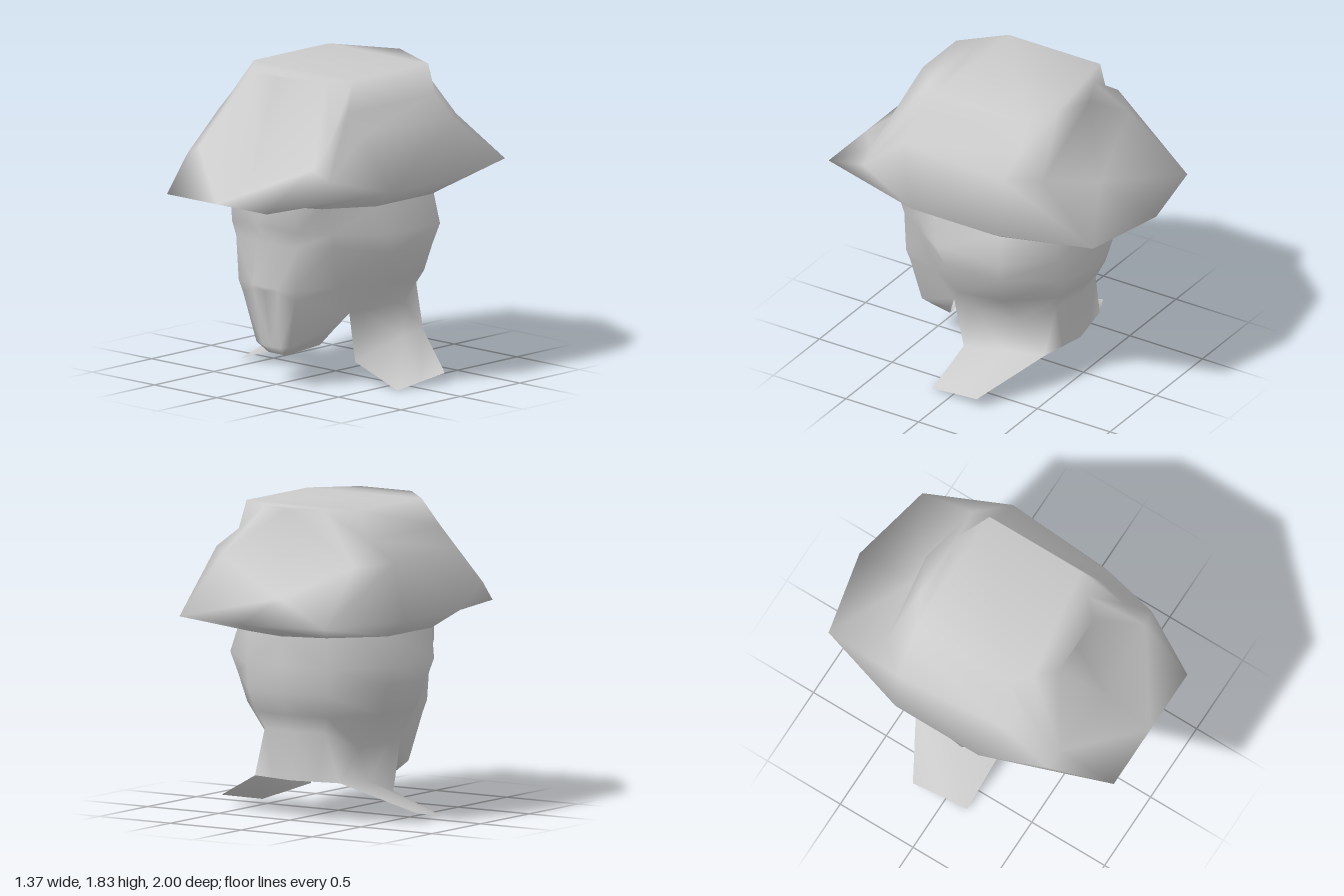
import * as THREE from 'three';
import { mergeVertices } from 'three/addons/utils/BufferGeometryUtils.js';

const grey = new THREE.MeshStandardMaterial({ color: 0xcccccc, side: THREE.DoubleSide });
grey.name = 'plain grey';

// Skins a grid of points; rows run down, columns run from the front to the back of the left half.
// Repeated points close a cell to a triangle.
function addPatch(out, rows, mirror = true) {
  const tri = (a, b, c) => {
    if (a === b || b === c || a === c) return;
    out.push(...a, ...b, ...c);
    if (mirror) for (const p of [a, c, b]) out.push(p[0] === 0 ? 0 : -p[0], p[1], p[2]);
  };
  for (let r = 0; r < rows.length - 1; r++) {
    for (let c = 0; c < rows[r].length - 1; c++) {
      const a = rows[r][c], b = rows[r][c + 1], d = rows[r + 1][c], e = rows[r + 1][c + 1];
      tri(a, d, b);
      tri(b, d, e);
    }
  }
}

// Welds the patches so that shading runs smoothly over the whole part.
function smoothMesh(name, positions) {
  let geometry = new THREE.BufferGeometry();
  geometry.setAttribute('position', new THREE.Float32BufferAttribute(positions, 3));
  geometry = mergeVertices(geometry, 1e-4);
  geometry.computeVertexNormals();
  const mesh = new THREE.Mesh(geometry, grey);
  mesh.name = name;
  return mesh;
}

function createHat() {
  const crownTop = [[0, 1.83, 0.49], [0.18, 1.83, 0.49], [0.29, 1.83, 0.38], [0.4, 1.83, 0.27],
    [0.4, 1.83, -0.36], [0.2, 1.83, -0.45], [0, 1.83, -0.54]];
  const crownBase = [[0, 1.26, 0.71], [0.46, 1.37, 0.67], [0.46, 1.51, 0.53], [0.46, 1.66, 0.38],
    [0.455, 1.66, -0.36], [0.47, 1.52, -0.52], [0, 1.31, -0.61]];
  const sideFront = [0.685, 1.2, 0.25];
  const brimRim = [[0, 1.15, 1], [0.4, 1.15, 1], sideFront, sideFront,
    [0.685, 1.2, -0.32], [0.51, 1.2, -0.89], [0, 1.2, -1]];
  // turned-up sides; front and back of the brim run straight to the rim
  const brimFold = [crownBase[0], crownBase[1], [0.57, 1.31, 0.65], [0.57, 1.54, 0.38],
    [0.625, 1.54, -0.34], brimRim[5], brimRim[6]];
  const headBand = [[0, 1.115, 0.66], [0.25, 1.11, 0.62], [0.345, 1.09, 0.48], [0.52, 1.09, 0.2],
    [0.52, 1.09, -0.26], [0.27, 1.09, -0.52], [0, 1.09, -0.6]];
  const out = [];
  addPatch(out, [crownTop, crownBase, brimFold, brimRim, headBand]);
  // flat lid across the crown, back to front
  const lid = crownTop.slice(1).reverse().map(([x, y, z]) => [[x === 0 ? 0 : -x, y, z], [x, y, z]]);
  addPatch(out, lid, false);
  return smoothMesh('hat', out);
}

function createHead() {
  // columns: centre line, nose, cheek, face edge, temple, rear side, rear corner, back
  const skull = [
    [[0, 1.115, 0.66], [0.1, 1.115, 0.655], [0.25, 1.11, 0.62], [0.345, 1.09, 0.48], [0.52, 1.09, 0.2],
      [0.52, 1.09, -0.26], [0.27, 1.09, -0.52], [0, 1.09, -0.6]],
    [[0, 0.97, 0.66], [0.1, 0.97, 0.65], [0.26, 0.95, 0.6], [0.365, 0.93, 0.4], [0.57, 0.92, 0.15],
      [0.57, 0.92, -0.28], [0.29, 0.9, -0.52], [0, 0.92, -0.6]],
    [[0, 0.86, 0.6], [0.06, 0.86, 0.595], [0.25, 0.86, 0.575], [0.36, 0.85, 0.4], [0.55, 0.8, 0.1],
      [0.53, 0.8, -0.26], [0.28, 0.75, -0.52], [0, 0.75, -0.6]],
    [[0, 0.63, 0.71], [0.1, 0.59, 0.595], [0.23, 0.6, 0.575], [0.33, 0.6, 0.31], [0.52, 0.63, 0.03],
      [0.47, 0.63, -0.25], [0.25, 0.62, -0.49], [0, 0.62, -0.54]],
  ];
  const neckTop = [[0, 0.57, 0.6], [0.1, 0.57, 0.59], [0.21, 0.53, 0.56], [0.3, 0.42, 0.2],
    [0.31, 0.42, 0.08], [0.31, 0.42, -0.25], [0.21, 0.52, -0.45], [0, 0.52, -0.48]];
  const out = [];
  addPatch(out, [...skull, neckTop]);

  // chin with a flat underside
  const jawCorner = [0.17, 0.23, 0.31];
  addPatch(out, [
    neckTop.slice(0, 4),
    [[0, 0.23, 0.54], [0.07, 0.23, 0.54], [0.13, 0.24, 0.53], [0.23, 0.32, 0.26]],
    [[0, 0.18, 0.49], [0.04, 0.18, 0.49], [0.07, 0.18, 0.49], jawCorner],
    [[0, 0.23, 0.31], [0.06, 0.23, 0.31], [0.12, 0.23, 0.31], jawCorner],
  ]);

  // open neck with a shoulder flap on each side
  const neckBase = [[0.29, 0.12, 0.14], [0.34, 0.22, -0.2], [0.3, 0.23, -0.42],
    [0.15, 0.23, -0.45], [0, 0.23, -0.48]];
  addPatch(out, [neckTop.slice(3), neckBase]);
  addPatch(out, [neckBase.slice(0, 3), [[0.63, 0, 0.14], [0.655, 0.03, -0.03], [0.685, 0.06, -0.2]]]);
  return smoothMesh('headAndNeck', out);
}

export function createModel() {
  const model = new THREE.Group();
  model.name = 'hattedBust';
  model.add(createHat(), createHead());
  return model;
}
